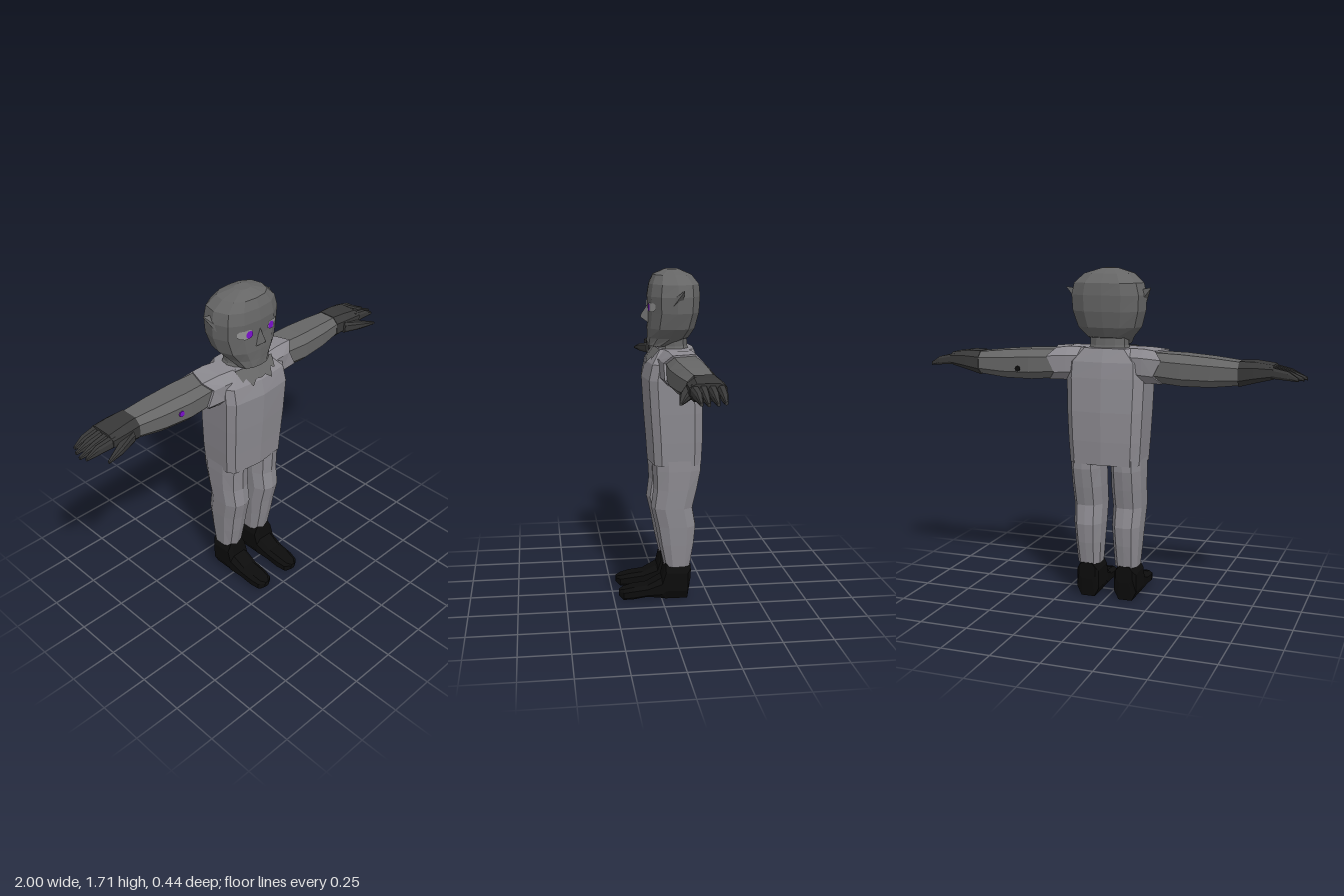
import * as THREE from 'three';

const mat = (name, color, side = THREE.FrontSide) => {
  const m = new THREE.MeshStandardMaterial({ color, side });
  m.name = name;
  return m;
};

// Half outlines, front to back: [sideways fraction, depth fraction]
const HEAD = [[0, 1], [0.5, 0.96], [0.85, 0.8], [1, 0.5], [0.9, 0.2], [0.5, 0.03], [0, 0]];
const TORSO = [[0, 1], [0.85, 0.93], [1, 0.8], [1, 0.2], [0.8, 0.05], [0, 0]];
const LEG = [[0, 1], [0.65, 0.93], [1, 0.7], [1, 0.25], [0.6, 0.03], [0, 0]];

// Horizontal ring from a mirrored half outline
function ringY(half, y, xc, w, zB, zF) {
  const left = half.map(([u, v]) => [xc + u * w, y, zB + v * (zF - zB)]);
  const right = half.slice(1, -1).reverse().map(([u, v]) => [xc - u * w, y, zB + v * (zF - zB)]);
  return [...left, ...right];
}

// Chamfered rectangle in two axes, from -1 to 1
const CHAMFER = [[1, 0.5], [0.6, 1], [-0.6, 1], [-1, 0.5], [-1, -0.5], [-0.6, -1], [0.6, -1], [1, -0.5]];
const ringX = (x, y0, y1, z0, z1) => CHAMFER.map(([a, b]) =>
  [x, (y0 + y1) / 2 + b * (y1 - y0) / 2, (z0 + z1) / 2 + a * (z1 - z0) / 2]);
const ringZ = (z, y0, y1, xc, w) => CHAMFER.map(([a, b]) =>
  [xc + a * w, (y0 + y1) / 2 + b * (y1 - y0) / 2, z]);

// Closed faceted skin through rings; corners are ordered so faces look outward
function loft(rings, side = 1) {
  const tris = [];
  const n = rings[0].length;
  const mid = r => [0, 1, 2].map(k => r.reduce((s, p) => s + p[k], 0) / n);
  const first = rings[0], last = rings[rings.length - 1];
  const a = mid(first), b = mid(last);
  for (let i = 0; i < n; i++) {
    const j = (i + 1) % n;
    for (let r = 0; r + 1 < rings.length; r++) {
      const p = rings[r], q = rings[r + 1];
      tris.push([p[i], p[j], q[j]], [p[i], q[j], q[i]]);
    }
    tris.push([a, first[j], first[i]], [b, last[i], last[j]]);
  }
  const v = p => new THREE.Vector3(p[0] * side, p[1], p[2]);
  const faces = tris.map(t => t.map(v));
  const o = v(a);
  const volume = faces.reduce((s, [p, q, r]) =>
    s + p.clone().sub(o).dot(q.clone().sub(o).cross(r.clone().sub(o))), 0);
  if (volume < 0) faces.forEach(f => f.reverse());
  const g = new THREE.BufferGeometry().setFromPoints(faces.flat());
  g.computeVertexNormals();
  return g;
}

// Thin painted strip facing +z, from columns [x, low, high] and a depth rule
function strip(columns, depth, side = 1) {
  const cols = columns.map(([x, lo, hi]) => [x * side, lo, hi]).sort((p, q) => p[0] - q[0]);
  const pts = [];
  const v = (x, y) => new THREE.Vector3(x, y, depth(Math.abs(x), y));
  for (let i = 0; i + 1 < cols.length; i++) {
    const [x0, l0, h0] = cols[i], [x1, l1, h1] = cols[i + 1];
    pts.push(v(x0, l0), v(x1, l1), v(x1, h1), v(x0, l0), v(x1, h1), v(x0, h0));
  }
  const g = new THREE.BufferGeometry().setFromPoints(pts);
  g.computeVertexNormals();
  return g;
}

export function createModel() {
  const model = new THREE.Group();
  model.name = 'figure';
  const skin = mat('grey skin', 0x666666, THREE.DoubleSide);
  const cloth = mat('light grey cloth', 0x8c8a90);
  const glove = mat('dark grey glove', 0x383838);
  const boot = mat('black boot', 0x0c0c0c);
  const eyeGrey = mat('pale eye', 0x929292, THREE.DoubleSide);
  const purple = mat('purple', 0x7d0fd0, THREE.DoubleSide);
  const add = (name, geometry, material) => {
    const m = new THREE.Mesh(geometry, material);
    m.name = name;
    model.add(m);
    return m;
  };

  // Head and neck
  add('head', loft([
    [1.33, 0.09, -0.05, 0.06], [1.37, 0.12, -0.15, 0.06], [1.42, 0.165, -0.18, 0.06],
    [1.5, 0.19, -0.2, 0.055], [1.58, 0.195, -0.205, 0.06], [1.64, 0.18, -0.2, 0.05],
    [1.685, 0.13, -0.165, 0.03], [1.712, 0.04, -0.1, -0.03],
  ].map(([y, w, b, f]) => ringY(HEAD, y, 0, w, b, f))), skin);
  add('neck', loft([
    [1.28, 0.125, -0.16, 0.02], [1.33, 0.1, -0.145, 0.005], [1.4, 0.1, -0.14, 0.01],
  ].map(([y, w, b, f]) => ringY(HEAD, y, 0, w, b, f))), skin);
  add('nose', loft([
    [[0, 1.545, 0.05], [0.03, 1.44, 0.05], [-0.03, 1.44, 0.05]],
    [[0, 1.48, 0.093], [0.006, 1.47, 0.092], [-0.006, 1.47, 0.092]],
  ]), skin);

  // Shirt body and ragged neckline
  add('shirt', loft([
    [0.73, 0.185, -0.215, 0.06], [0.85, 0.193, -0.22, 0.068], [1.0, 0.2, -0.22, 0.08],
    [1.17, 0.205, -0.21, 0.09], [1.25, 0.2, -0.2, 0.07], [1.318, 0.13, -0.175, 0.02],
  ].map(([y, w, b, f]) => ringY(TORSO, y, 0, w, b, f))), cloth);
  const neckline = [[0, 1.262], [0.03, 1.265], [0.065, 1.24], [0.085, 1.28], [0.11, 1.268], [0.125, 1.318]];
  for (const s of [1, -1]) {
    add('neckline', strip(neckline.map(([x, y]) => [x, y, 1.322]),
      (x, y) => 0.07 - (y - 1.25) * 0.74 - 0.12 * x + 0.008, s), skin);
  }

  // Depth of the face across the eyes
  const face = lift => x => {
    const u = x / 0.191;
    return lift + (u < 0.5 ? 0.057 - 0.0206 * u : 0.0467 - 0.1174 * (u - 0.5));
  };

  for (const s of [1, -1]) {
    const name = s > 0 ? 'left' : 'right';

    // Eyes and pointed ears
    add(name + 'Eye', strip([[0.05, 1.515, 1.545], [0.07, 1.503, 1.55], [0.0955, 1.503, 1.55],
      [0.118, 1.508, 1.548], [0.13, 1.52, 1.54]], face(0.006), s), eyeGrey);
    add(name + 'Iris', strip([[0.052, 1.518, 1.534], [0.062, 1.507, 1.545], [0.08, 1.507, 1.545],
      [0.09, 1.518, 1.534]], face(0.009), s), purple);
    add(name + 'Ear', loft([
      [[0.18, 1.53, -0.045], [0.18, 1.56, -0.1], [0.18, 1.61, -0.1], [0.19, 1.58, -0.06]],
      [[0.222, 1.612, -0.1], [0.222, 1.612, -0.102], [0.222, 1.617, -0.102], [0.222, 1.617, -0.1]],
    ], s), skin);

    // Sleeve with a ragged cuff
    const cuff = ringX(0.28, 1.148, 1.312, -0.19, 0.008);
    cuff.forEach((p, i) => { p[0] += i % 2 ? 0.022 : -0.018; });
    add(name + 'Sleeve', loft([ringX(0.1, 1.16, 1.318, -0.17, 0.03),
      ringX(0.2, 1.15, 1.32, -0.185, 0.02), cuff], s), cloth);

    // Bare arm
    add(name + 'Arm', loft([
      [0.22, 1.16, 1.305, -0.18, -0.005], [0.4, 1.145, 1.3, -0.195, 0], [0.55, 1.147, 1.29, -0.195, -0.018],
      [0.7, 1.165, 1.275, -0.19, -0.045],
    ].map(r => ringX(...r)), s), skin);

    // Glove: palm, four fingers, thumb
    add(name + 'Palm', loft([
      [0.685, 1.158, 1.28, -0.194, -0.04], [0.76, 1.178, 1.28, -0.196, -0.026],
      [0.85, 1.2, 1.268, -0.19, -0.024],
    ].map(r => ringX(...r)), s), glove);
    const fingers = [[-0.168, -0.165, 0.97], [-0.127, -0.127, 0.99], [-0.087, -0.085, 1.0], [-0.047, -0.055, 0.985]];
    for (const [z0, z1, tip] of fingers) {
      add(name + 'Finger', loft([
        ringX(0.83, 1.208, 1.262, z0 - 0.02, z0 + 0.02),
        ringX(0.92, 1.2, 1.243, z1 - 0.017, z1 + 0.017),
        ringX(tip, 1.195, 1.21, z1 - 0.007, z1 + 0.007),
      ], s), glove);
    }
    add(name + 'Thumb', loft([
      ringX(0.73, 1.185, 1.245, -0.07, -0.02), ringX(0.83, 1.185, 1.228, -0.028, 0.016),
      ringX(0.92, 1.188, 1.2, 0.016, 0.03),
    ], s), glove);

    // Trouser leg: height, inner x, outer x, back, front
    add(name + 'Leg', loft([
      [0.18, 0.042, 0.163, -0.15, -0.015], [0.3, 0.036, 0.172, -0.17, 0.012],
      [0.4, 0.03, 0.179, -0.18, 0.03], [0.5, 0.03, 0.184, -0.162, 0.053],
      [0.6, 0.028, 0.187, -0.185, 0.04], [0.7, 0.03, 0.188, -0.205, 0.045],
      [0.78, 0.03, 0.186, -0.205, 0.05],
    ].map(([y, i, o, b, f]) => ringY(LEG, y, (i + o) / 2, (o - i) / 2, b, f)), s), cloth);

    // Boot: depth, sole, top, half width
    add(name + 'Boot', loft([
      [-0.152, 0.1, 0.186, 0.045], [-0.135, 0, 0.19, 0.06], [-0.02, 0.002, 0.2, 0.064],
      [0, 0.006, 0.118, 0.064], [0.075, 0.014, 0.078, 0.058], [0.15, 0.003, 0.07, 0.056],
      [0.2, 0, 0.058, 0.046], [0.223, 0.02, 0.05, 0.014],
    ].map(([z, b, t, w]) => ringZ(z, b, t, 0.103, w)), s), boot);
  }

  // Purple spot on the right forearm and a dark one behind the left
  const spot = new THREE.CylinderGeometry(0.015, 0.015, 0.008, 8).rotateX(Math.PI / 2);
  add('forearmSpot', spot, purple).position.set(-0.46, 1.225, -0.006);
  add('forearmBackSpot', spot, boot).position.set(0.46, 1.2, -0.195);
  return model;
}
